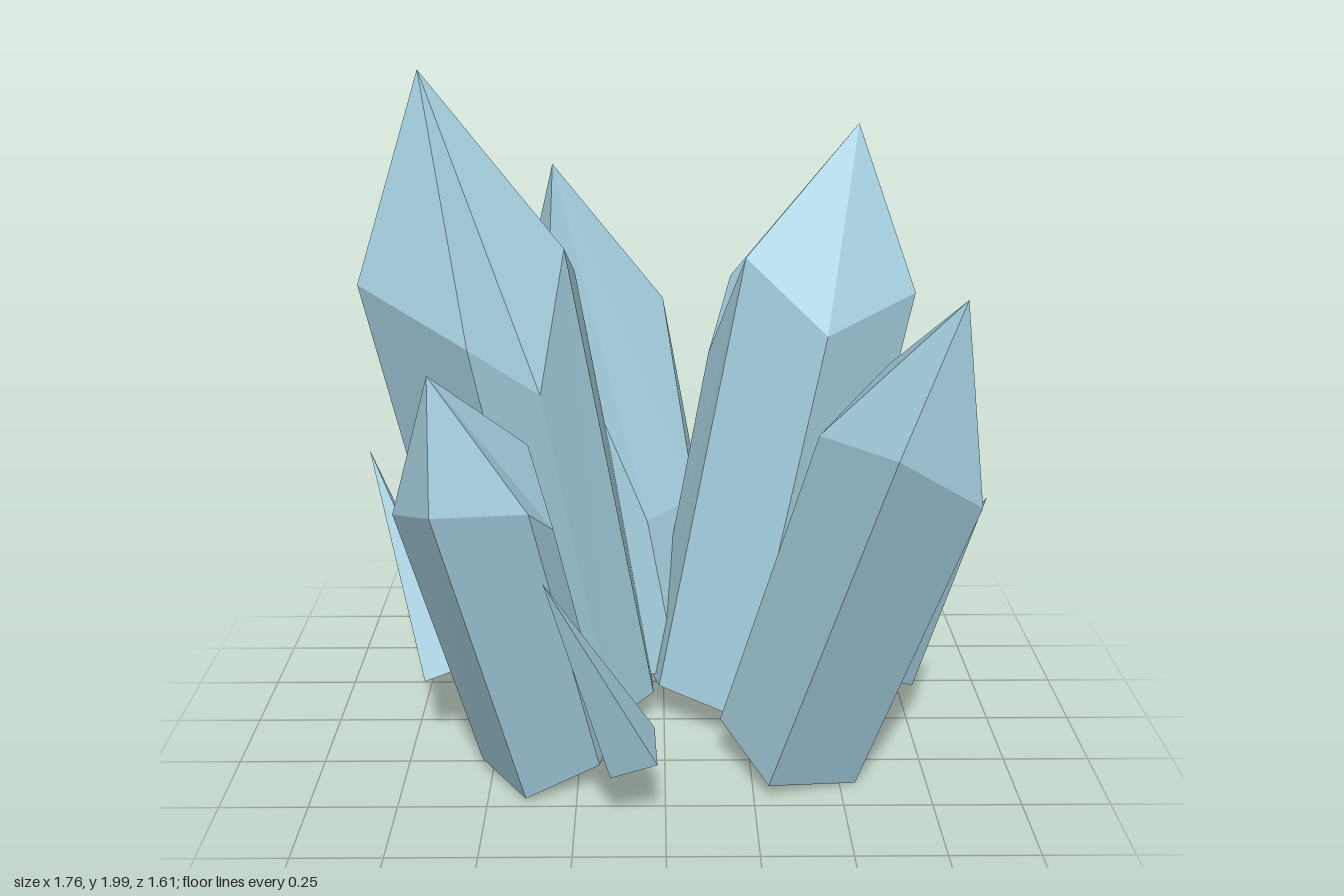
import * as THREE from 'three';

const TAPER = 0.94; // base polygon is a little narrower than the shoulder

// Flat-shaded mesh from outward-wound triangles
function facetedMesh(name, triangles, material) {
  const geometry = new THREE.BufferGeometry().setFromPoints(triangles);
  geometry.computeVertexNormals();
  const mesh = new THREE.Mesh(geometry, material);
  mesh.name = name;
  return mesh;
}

// Leaning prism with a pointed cap.
// ring: shoulder corners as [angle in degrees, radius, height], going round from +x to +z
function crystal({ name, base, tip, ring }, material) {
  const foot = new THREE.Vector3(...base);
  const top = new THREE.Vector3(...tip);
  const axis = top.clone().sub(foot);
  const dir = axis.clone().normalize();
  const shoulder = ring.map(([deg, r, y]) => {
    const a = THREE.MathUtils.degToRad(deg);
    const p = foot.clone().addScaledVector(axis, (y - foot.y) / axis.y);
    return p.add(new THREE.Vector3(Math.cos(a) * r, 0, Math.sin(a) * r));
  });
  // slide each corner down the axis to the square-cut foot
  const bottom = shoulder.map((p) => {
    const rel = p.clone().sub(foot);
    rel.addScaledVector(dir, -rel.dot(dir));
    return rel.multiplyScalar(TAPER).add(foot);
  });
  const tris = [];
  for (let i = 0; i < ring.length; i++) {
    const j = (i + 1) % ring.length;
    tris.push(bottom[i], shoulder[i], bottom[j]); // side
    tris.push(bottom[j], shoulder[i], shoulder[j]);
    tris.push(shoulder[i], top, shoulder[j]); // cap
    tris.push(foot, bottom[i], bottom[j]); // foot
  }
  return facetedMesh(name, tris, material);
}

// Thin four-sided spike
function shard({ name, base, tip, radius }, material) {
  const foot = new THREE.Vector3(...base);
  const top = new THREE.Vector3(...tip);
  const turn = new THREE.Quaternion().setFromUnitVectors(
    new THREE.Vector3(0, 1, 0), top.clone().sub(foot).normalize());
  const corners = [45, 135, 225, 315].map((deg) => {
    const a = THREE.MathUtils.degToRad(deg);
    return new THREE.Vector3(Math.cos(a) * radius, 0, Math.sin(a) * radius)
      .applyQuaternion(turn).add(foot);
  });
  const tris = [];
  corners.forEach((c, i) => {
    const next = corners[(i + 1) % 4];
    tris.push(c, top, next, foot, c, next);
  });
  return facetedMesh(name, tris, material);
}

const CRYSTALS = [
  {
    name: 'tallCrystal', base: [-0.31, 0.08, -0.14], tip: [-0.65, 2.0, 0.16],
    ring: [[28, 0.34, 1.54], [60, 0.325, 1.15], [89, 0.34, 1.3], [149, 0.32, 1.44],
      [180, 0.305, 1.1], [210, 0.335, 1.27], [270, 0.345, 1.55], [330, 0.33, 1.4]],
  },
  {
    name: 'leftCrystal', base: [0.22, 0.07, -0.12], tip: [0.574, 1.8, -0.287],
    ring: [[29, 0.29, 1.335], [90, 0.31, 1.25], [149, 0.308, 1.44], [181, 0.3, 1.12],
      [210, 0.31, 1.32], [269, 0.31, 1.34], [301, 0.28, 1.01], [328, 0.305, 1.15]],
  },
  {
    name: 'backCrystal', base: [-0.03, 0.085, -0.28], tip: [-0.35, 1.625, -0.642],
    ring: [[26, 0.27, 0.63], [73, 0.31, 0.62], [106, 0.26, 1.28], [188, 0.257, 1.05],
      [257, 0.277, 1.19], [301, 0.28, 1.04], [331, 0.295, 1.18]],
  },
  {
    name: 'frontLeftCrystal', base: [0.374, 0.085, 0.25], tip: [0.743, 1.49, 0.62],
    ring: [[3, 0.24, 0.865], [38, 0.26, 0.95], [108, 0.255, 1.12], [184, 0.242, 1.1],
      [253, 0.26, 1.235], [326, 0.254, 1.02]],
  },
  {
    name: 'frontRightCrystal', base: [-0.345, 0.075, 0.305], tip: [-0.595, 1.3, 0.625],
    ring: [[0, 0.205, 0.84], [32, 0.2, 0.935], [107, 0.212, 0.965], [180, 0.205, 0.89],
      [252, 0.21, 1.1], [323, 0.225, 1.05]],
  },
];

const SHARDS = [
  { name: 'rightShard', base: [-0.64, 0.235, 0.13], tip: [-0.886, 0.845, -0.13], radius: 0.09 },
  { name: 'leftShard', base: [0.677, 0.225, 0.045], tip: [0.878, 0.87, 0.35], radius: 0.105 },
  { name: 'frontShard', base: [-0.09, 0.215, 0.57], tip: [-0.307, 0.815, 0.797], radius: 0.095 },
  { name: 'backShard', base: [0.13, 0.26, -0.48], tip: [0.347, 0.8, -0.685], radius: 0.09 },
];

export function createModel() {
  const group = new THREE.Group();
  group.name = 'crystalCluster';
  const paleBlue = new THREE.MeshStandardMaterial({ color: 0xa2ccdc });
  paleBlue.name = 'paleBlue';
  CRYSTALS.forEach((c) => group.add(crystal(c, paleBlue)));
  SHARDS.forEach((s) => group.add(shard(s, paleBlue)));
  return group;
}
